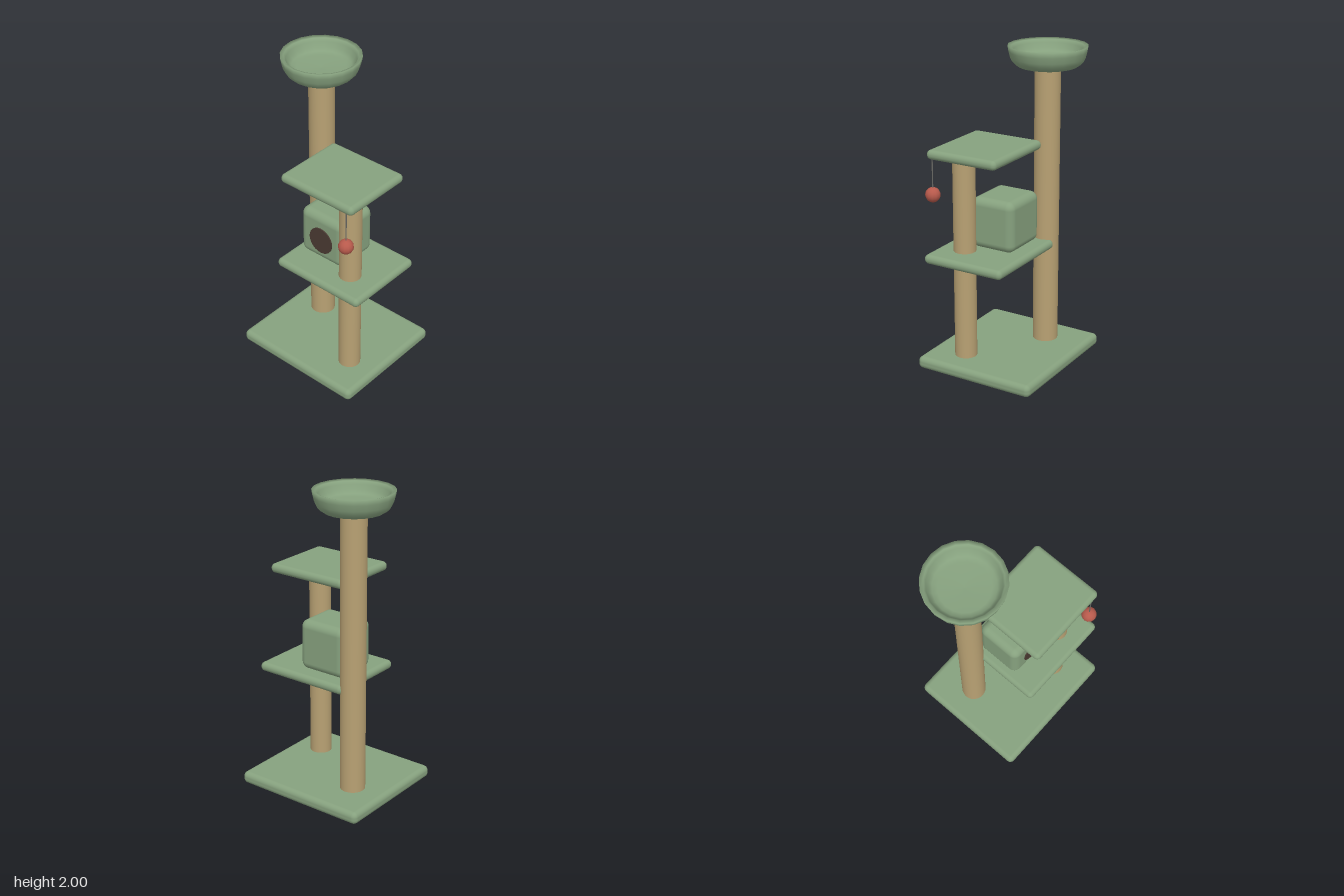
import * as THREE from 'three';
import { RoundedBoxGeometry } from 'three/addons/geometries/RoundedBoxGeometry.js';

const material = (color, side = THREE.FrontSide) => new THREE.MeshStandardMaterial({ color, side });

export function createModel() {
  const model = new THREE.Group();
  model.name = 'catTree';
  const plush = material(0x86a17e);
  const rope = material(0xb8a173);
  const dark = material(0x4a3a32);
  const red = material(0xb85a4c);
  const cord = material(0x6b6b66);

  const add = (name, geometry, mat, x, y, z) => {
    const mesh = new THREE.Mesh(geometry, mat);
    mesh.name = name;
    mesh.position.set(x, y, z);
    model.add(mesh);
    return mesh;
  };

  // Padded block given by its extents along each axis
  const pad = (name, [x0, x1], [y0, y1], [z0, z1], radius) =>
    add(name, new RoundedBoxGeometry(x1 - x0, y1 - y0, z1 - z0, 4, radius), plush,
      (x0 + x1) / 2, (y0 + y1) / 2, (z0 + z1) / 2);

  // Upright cylinder between two heights
  const upright = (name, mat, radius, x, z, y0, y1, sides = 24) =>
    add(name, new THREE.CylinderGeometry(radius, radius, y1 - y0, sides), mat, x, (y0 + y1) / 2, z);

  // Base and platforms
  pad('base', [-0.445, 0.462], [0, 0.08], [-0.405, 0.405], 0.033);
  pad('middlePlatform', [-0.185, 0.462], [0.72, 0.78], [-0.21, 0.34], 0.029);
  pad('upperPlatform', [-0.138, 0.415], [1.37, 1.43], [-0.145, 0.34], 0.029);

  // Scratching posts
  upright('tallPost', rope, 0.08, -0.22, -0.13, 0.07, 1.875);
  upright('shortPost', rope, 0.07, 0.265, 0.165, 0.07, 1.38);

  // Hideaway box with its round entrance
  pad('hideawayBox', [-0.138, 0.2], [0.78, 1.106], [-0.13, 0.17], 0.05);
  const entrance = add('entrance', new THREE.CylinderGeometry(0.089, 0.089, 0.02, 24), dark, 0.035, 0.93, 0.167);
  entrance.rotation.x = Math.PI / 2;

  // Bowl bed: up the outside, over the rim, down to the dished floor
  const profile = [
    [0, 0], [0.155, 0.002], [0.182, 0.009], [0.2, 0.021], [0.218, 0.04], [0.23, 0.065], [0.239, 0.1], [0.245, 0.135],
    [0.222, 0.128], [0.211, 0.108], [0.198, 0.08], [0.18, 0.06], [0.15, 0.051], [0, 0.046],
  ].map(([r, y]) => new THREE.Vector2(r, y));
  add('bowlBed', new THREE.LatheGeometry(profile, 20), plush, -0.22, 1.865, -0.13);

  // Hanging toy
  upright('toyCord', cord, 0.004, 0.365, 0.325, 1.18, 1.38, 6);
  add('toyBall', new THREE.SphereGeometry(0.047, 12, 10), red, 0.365, 1.14, 0.325);

  return model;
}
